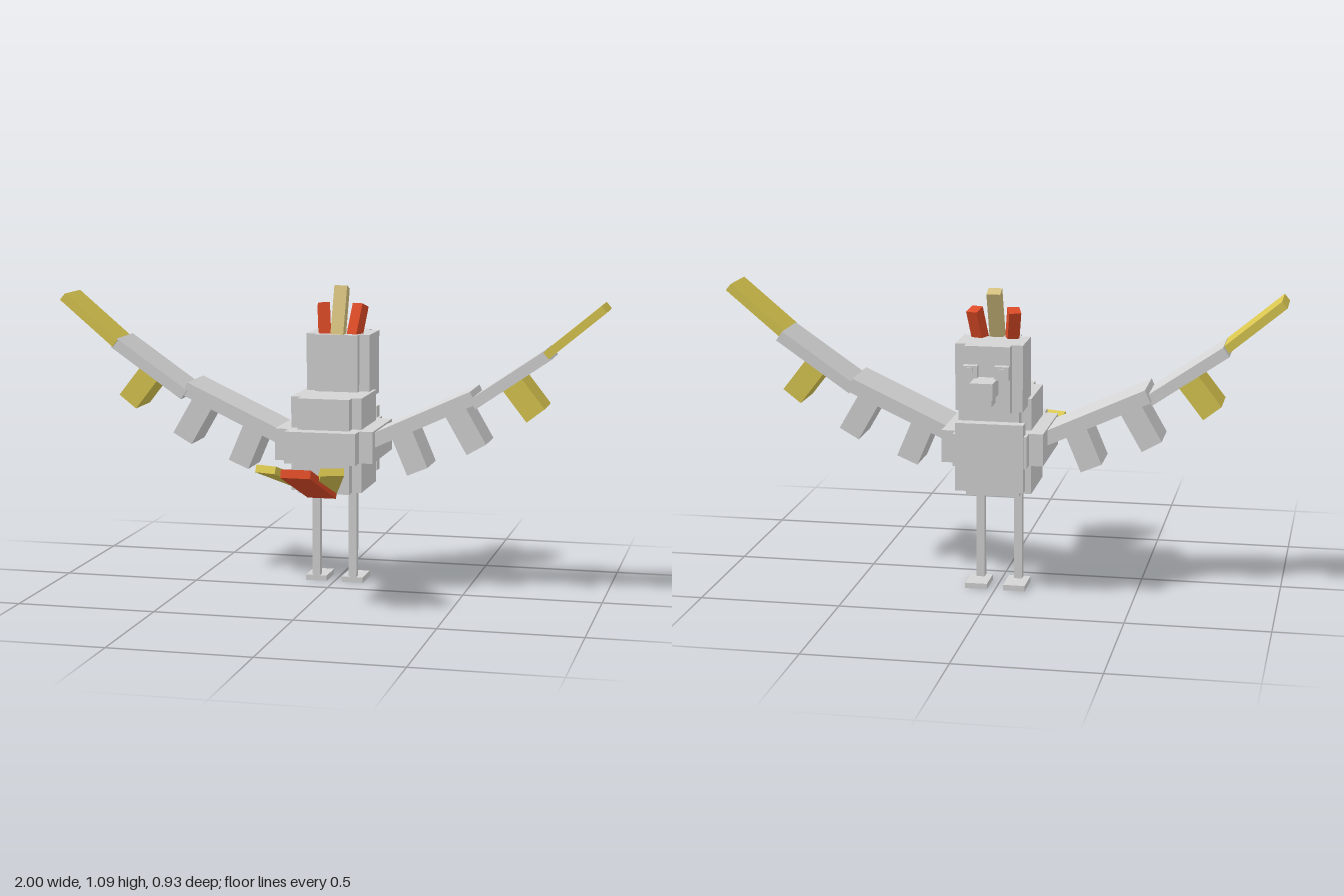
import * as THREE from 'three';

export function createModel() {
  const model = new THREE.Group();
  const paint = (name, color) => {
    const m = new THREE.MeshStandardMaterial({ color });
    m.name = name;
    return m;
  };
  const grey = paint('grey', 0xd4d4d4);
  const yellow = paint('yellow', 0xdac750);
  const red = paint('red', 0xdc4b27);
  const tan = paint('tan', 0xd6c280);

  // Axis-aligned block from its [min, max] ranges
  function block(name, x, y, z, material = grey, parent = model) {
    const geo = new THREE.BoxGeometry(x[1] - x[0], y[1] - y[0], z[1] - z[0]);
    const mesh = new THREE.Mesh(geo, material);
    mesh.position.set((x[0] + x[1]) / 2, (y[0] + y[1]) / 2, (z[0] + z[1]) / 2);
    mesh.name = name;
    parent.add(mesh);
  }

  // Slab running from a to b, its width kept horizontal
  function slab(name, a, b, width, thick, material, parent = model) {
    const start = new THREE.Vector3(...a), end = new THREE.Vector3(...b);
    const dir = end.clone().sub(start);
    const geo = new THREE.BoxGeometry(width, thick, dir.length());
    dir.normalize();
    const side = new THREE.Vector3(0, 1, 0).cross(dir).normalize();
    const up = dir.clone().cross(side);
    const mesh = new THREE.Mesh(geo, material);
    mesh.quaternion.setFromRotationMatrix(new THREE.Matrix4().makeBasis(side, up, dir));
    mesh.position.copy(start).add(end).multiplyScalar(0.5);
    mesh.name = name;
    parent.add(mesh);
  }

  const sym = (w) => [-w, w];

  // Body: stepped tiers of crossed blocks, the bird facing -z
  const body = new THREE.Group();
  body.name = 'body';
  model.add(body);
  for (const [name, y] of [['lowerBody', [0.36, 0.475]], ['upperBody', [0.59, 0.703]]]) {
    block(name + 'Wide', sym(0.13), y, [-0.22, 0.02], grey, body);
    block(name + 'Long', sym(0.095), y, [-0.267, 0.067], grey, body);
  }
  block('middleBodyWide', sym(0.18), [0.475, 0.59], [-0.27, 0.06], grey, body);
  block('middleBodyLong', sym(0.13), [0.475, 0.59], [-0.32, 0.122], grey, body);
  block('chestPlate', sym(0.12), [0.39, 0.632], [-0.327, -0.285], grey, body);

  // Head and beak
  block('headWide', sym(0.118), [0.678, 0.912], [-0.325, -0.16]);
  block('headLong', sym(0.08), [0.678, 0.912], [-0.36, -0.13]);
  block('upperBeak', sym(0.04), [0.747, 0.805], [-0.465, -0.355]);
  block('lowerBeak', sym(0.03), [0.718, 0.747], [-0.433, -0.355]);

  // Crest and tail centre feathers
  slab('crestCentre', [0, 0.891, -0.156], [0, 1.079, -0.224], 0.048, 0.045, tan);
  slab('tailCentre', [0, 0.362, 0.082], [0, 0.5, 0.46], 0.105, 0.03, red);

  for (const s of [1, -1]) {
    const across = (a, b) => [Math.min(s * a, s * b), Math.max(s * a, s * b)];
    block('eye', across(0.03, 0.08), [0.8, 0.848], [-0.387, -0.355]);
    block('pupil', across(0.045, 0.065), [0.826, 0.842], [-0.393, -0.386]);
    slab('crestSide', [s * 0.053, 0.88, -0.178], [s * 0.07, 1.015, -0.225], 0.042, 0.045, red);
    slab('tailSide', [s * 0.012, 0.376, 0.08], [s * 0.118, 0.504, 0.415], 0.08, 0.027, yellow);

    // Legs
    block('leg', across(0.054, 0.083), [0.018, 0.4], [-0.137, -0.105]);
    block('foot', across(0.029, 0.108), [0, 0.02], [-0.222, -0.103]);

    // Wing: three arm segments with feathers hanging below
    const wing = new THREE.Group();
    wing.name = s > 0 ? 'leftWing' : 'rightWing';
    model.add(wing);
    const segments = [
      ['innerWing', 0.124, 0.53, 0.532, 0.718, -0.08, 0.2, 0.05, grey],
      ['outerWing', 0.532, 0.696, 0.797, 0.879, -0.06, 0.18, 0.04, grey],
      ['wingTip', 0.791, 0.878, 0.99, 1.045, -0.04, 0.16, 0.03, yellow],
      ['outerFeather', 0.661, 0.78, 0.754, 0.661, -0.07, 0.16, 0.08, yellow],
      ['middleFeather', 0.46, 0.679, 0.545, 0.532, -0.07, 0.16, 0.08, grey],
      ['innerFeather', 0.266, 0.6, 0.332, 0.444, -0.07, 0.16, 0.08, grey],
    ];
    for (const [name, x0, y0, x1, y1, z, width, thick, mat] of segments)
      slab(name, [s * x0, y0, z], [s * x1, y1, z], width, thick, mat, wing);
  }
  return model;
}
